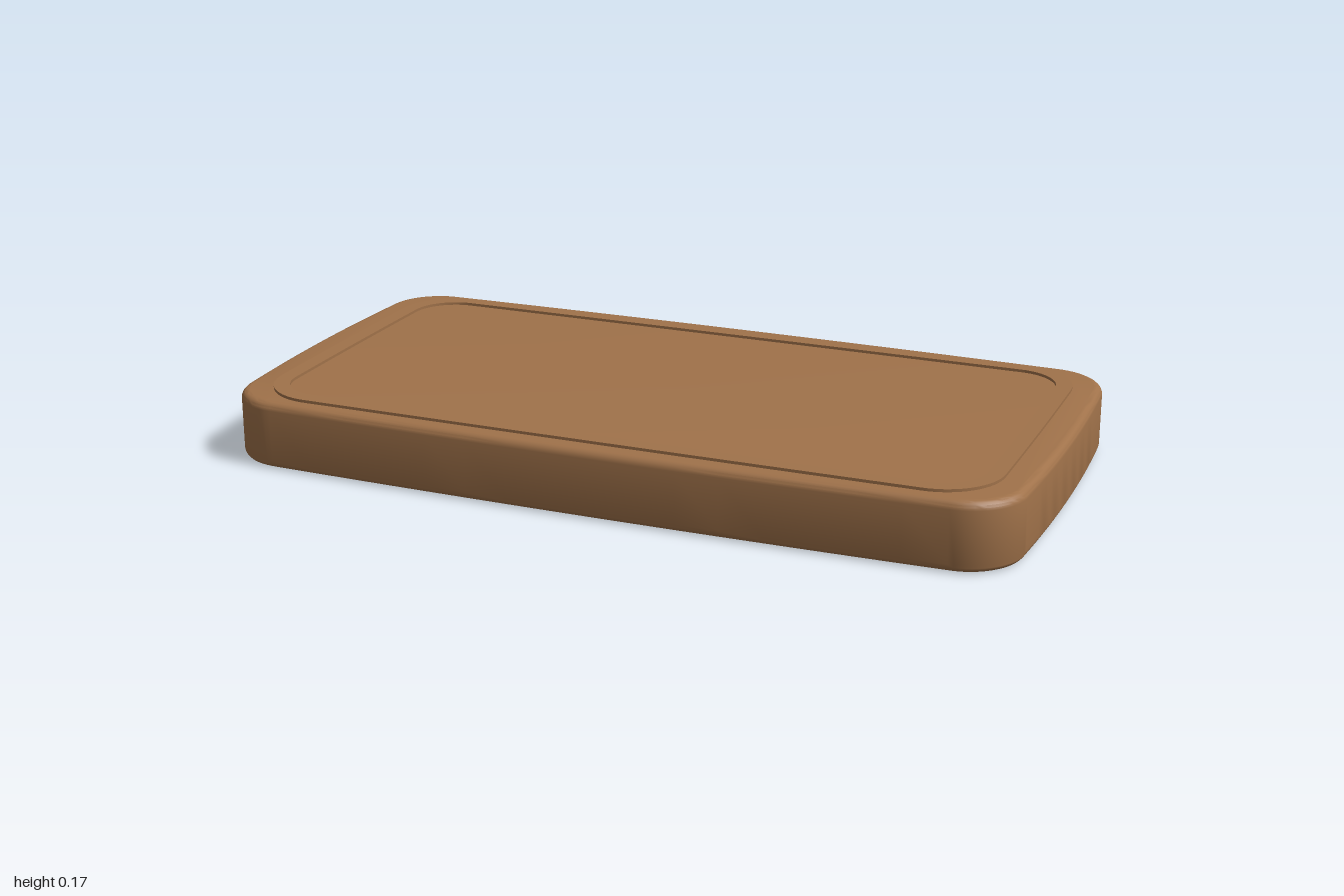
import * as THREE from 'three';
import { toCreasedNormals } from 'three/addons/utils/BufferGeometryUtils.js';

// Rounded rectangle with gently bulging sides; w and d are half sizes, r the corner reach
function outline(w, d, r, bulge, Type = THREE.Shape) {
  const x = w - bulge, y = d - bulge, k = r * 0.45;
  const s = new Type();
  s.moveTo(x, -(y - r));
  s.quadraticCurveTo(w + bulge, 0, x, y - r);
  s.bezierCurveTo(x, y - k, x - k, y, x - r, y);
  s.quadraticCurveTo(0, d + bulge, -(x - r), y);
  s.bezierCurveTo(-(x - k), y, -x, y - k, -x, y - r);
  s.quadraticCurveTo(-(w + bulge), 0, -x, -(y - r));
  s.bezierCurveTo(-x, -(y - k), -(x - k), -y, -(x - r), -y);
  s.quadraticCurveTo(0, -(d + bulge), x - r, -y);
  s.bezierCurveTo(x - k, -y, x, -(y - k), x, -(y - r));
  return s;
}

// Extrude a plan outline upward from y = base
function slab(name, shape, options, base, material) {
  let geometry = new THREE.ExtrudeGeometry(shape, { curveSegments: 16, ...options });
  geometry.rotateX(-Math.PI / 2);
  geometry.translate(0, base, 0);
  geometry = toCreasedNormals(geometry, 0.6);
  const mesh = new THREE.Mesh(geometry, material);
  mesh.name = name;
  return mesh;
}

export function createModel() {
  const group = new THREE.Group();
  group.name = 'board';
  const wood = new THREE.MeshStandardMaterial({ color: 0xa0724a });
  wood.name = 'warm brown wood';

  // Thick board with softened top and bottom edges
  const height = 0.168, bevel = 0.02;
  group.add(slab('boardBody', outline(1, 0.512, 0.14, 0.012), {
    depth: height - 2 * bevel,
    bevelEnabled: true,
    bevelThickness: bevel,
    bevelSize: bevel,
    bevelOffset: -bevel,
    bevelSegments: 5,
  }, bevel, wood));

  // Narrow raised rim running around the top
  const rim = outline(0.925, 0.465, 0.15, 0.002);
  rim.holes.push(outline(0.885, 0.425, 0.11, 0.002, THREE.Path));
  group.add(slab('raisedRim', rim, { depth: 0.009, bevelEnabled: false }, height - 0.002, wood));

  return group;
}
